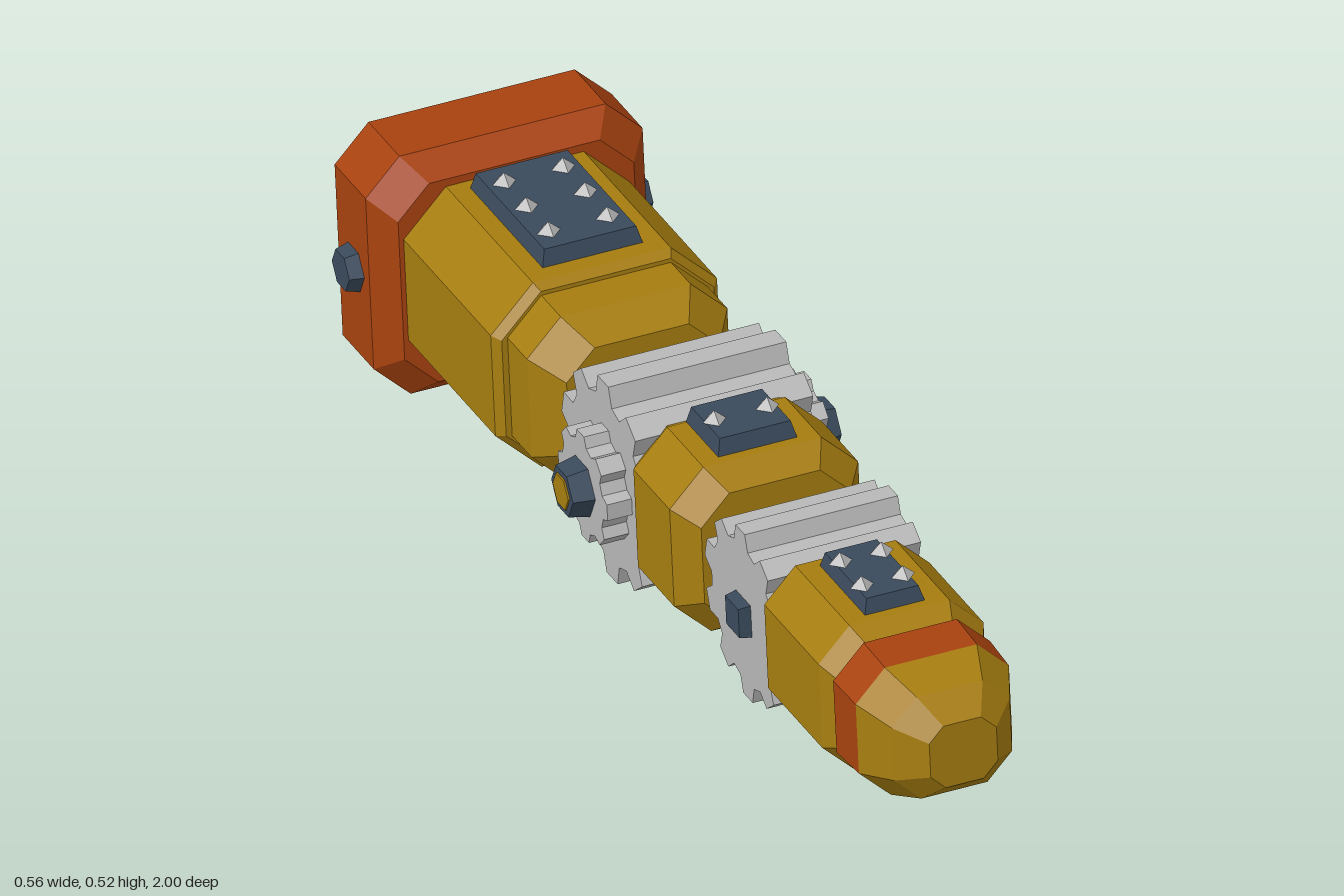
import * as THREE from 'three';

const paint = (name, color) => {
  const m = new THREE.MeshStandardMaterial({ color, flatShading: true });
  m.name = name;
  return m;
};

// Corners of a chamfered rectangle, counter-clockwise
const octagon = (w, h, c) => [
  [w, c - h], [w, h - c], [w - c, h], [c - w, h],
  [-w, h - c], [-w, c - h], [c - w, -h], [w - c, -h],
];

// Closed body through chamfered sections [z, halfWidth, halfHeight, chamfer], z rising
function loft(sections) {
  const rings = sections.map(([z, w, h, c]) => octagon(w, h, c).map(([x, y]) => [x, y, z]));
  const pos = [];
  const tri = (a, b, c) => pos.push(...a, ...b, ...c);
  const n = 8, last = rings[rings.length - 1];
  for (let k = 0; k + 1 < rings.length; k++) {
    for (let i = 0; i < n; i++) {
      const j = (i + 1) % n, a = rings[k], b = rings[k + 1];
      tri(a[i], a[j], b[j]);
      tri(a[i], b[j], b[i]);
    }
  }
  for (let i = 1; i + 1 < n; i++) {
    tri(last[0], last[i], last[i + 1]);
    tri(rings[0][0], rings[0][i + 1], rings[0][i]);
  }
  const g = new THREE.BufferGeometry();
  g.setAttribute('position', new THREE.Float32BufferAttribute(pos, 3));
  g.computeVertexNormals();
  return g;
}

// Toothed wheel with its axle along x
function gearGeometry(outer, root, teeth, halfWidth) {
  const shape = new THREE.Shape();
  const step = (Math.PI * 2) / teeth;
  for (let i = 0; i < teeth; i++) {
    [[-0.34, root], [-0.19, outer], [0.19, outer], [0.34, root]].forEach(([f, r], k) => {
      const a = Math.PI / 2 + (i + f) * step;
      const p = [Math.cos(a) * r, Math.sin(a) * r];
      if (i + k === 0) shape.moveTo(...p);
      else shape.lineTo(...p);
    });
  }
  shape.closePath();
  const g = new THREE.ExtrudeGeometry(shape, { depth: halfWidth * 2, bevelEnabled: false });
  return g.translate(0, 0, -halfWidth).rotateY(Math.PI / 2);
}

export function createModel() {
  const gold = paint('gold', 0xa67d10);
  const orange = paint('burnt orange', 0xa8420f);
  const slate = paint('slate', 0x3a4a5c);
  const steel = paint('steel', 0xb8b8b8);

  const model = new THREE.Group();
  model.name = 'mechanicalFinger';
  const finger = new THREE.Group();
  finger.name = 'finger';
  finger.position.set(-0.05, 0.29, 0);
  finger.rotation.set(-0.08, -0.085, 0.01, 'YXZ');
  model.add(finger);

  const add = (name, geometry, material, x = 0, y = 0, z = 0) => {
    const mesh = new THREE.Mesh(geometry, material);
    mesh.name = name;
    mesh.position.set(x, y, z);
    finger.add(mesh);
    return mesh;
  };

  // Matching tapered pegs on both sides, from x = inner to x = outer
  const pegs = (name, material, z, inner, outer, rIn, rOut, sides, turn = 0) => {
    for (const s of [-1, 1]) {
      const g = new THREE.CylinderGeometry(rOut, rIn, outer - inner, sides);
      g.rotateY(turn).rotateZ(-s * Math.PI / 2);
      add(name, g, material, s * (inner + outer) / 2, 0, z);
    }
  };

  // Bevelled top plate with rows of pointed rivets
  const plate = (name, z, w, length, y0, y1, rows, dx, dz) => {
    const l = length / 2, h = y1 - y0 + 0.02, b = 0.012;
    const g = new THREE.BoxGeometry(w * 2, h, length);
    const p = g.attributes.position;
    for (let i = 0; i < p.count; i++) {
      if (p.getY(i) > 0) {
        p.setX(i, Math.sign(p.getX(i)) * (w - b));
        p.setZ(i, Math.sign(p.getZ(i)) * (l - b));
      }
    }
    g.computeVertexNormals();
    add(name, g, slate, 0, y1 - h / 2, z);
    for (let r = 0; r < rows; r++) {
      for (const s of [-1, 1]) {
        const rivet = new THREE.ConeGeometry(0.02, 0.018, 4);
        add('rivet', rivet, steel, s * dx / 2, y1 + 0.009, z + (r - (rows - 1) / 2) * dz);
      }
    }
  };

  // Fingertip
  add('tip', loft([
    [0.885, 0.13, 0.114, 0.052], [0.955, 0.1, 0.091, 0.044], [1.0, 0.057, 0.055, 0.025],
  ]), gold);
  add('tipBand', loft([[0.805, 0.133, 0.118, 0.054], [0.885, 0.13, 0.114, 0.052]]), orange);
  add('tipSegment', loft([
    [0.555, 0.14, 0.13, 0.055], [0.765, 0.14, 0.13, 0.055], [0.805, 0.122, 0.11, 0.05],
  ]), gold);
  plate('tipPlate', 0.66, 0.056, 0.185, 0.13, 0.155, 2, 0.07, 0.083);

  // Front joint
  add('frontGear', gearGeometry(0.152, 0.125, 10, 0.13), steel, 0, 0, 0.446);
  pegs('frontGearPin', slate, 0.446, 0.12, 0.15, 0.042, 0.036, 4, Math.PI / 4);

  // Middle segment
  add('middleSegment', loft([
    [0.07, 0.145, 0.135, 0.055], [0.095, 0.16, 0.147, 0.06],
    [0.235, 0.16, 0.147, 0.06], [0.28, 0.127, 0.117, 0.05],
  ]), gold);
  plate('middlePlate', 0.155, 0.072, 0.135, 0.147, 0.175, 1, 0.09, 0);

  // Rear joint with small side gears and capped axle ends
  add('rearGear', gearGeometry(0.178, 0.146, 10, 0.151), steel, 0, 0, -0.035);
  add('sideGears', gearGeometry(0.096, 0.08, 8, 0.193), steel, 0, 0, -0.035);
  pegs('axleEnd', slate, -0.035, 0.18, 0.228, 0.052, 0.042, 6);
  pegs('axleCap', gold, -0.035, 0.225, 0.231, 0.03, 0.03, 6);

  // Base segment
  add('baseCollar', loft([
    [-0.4, 0.17, 0.148, 0.06], [-0.295, 0.17, 0.148, 0.06], [-0.235, 0.13, 0.115, 0.05],
  ]), gold);
  add('baseSegment', loft([
    [-0.74, 0.192, 0.165, 0.075], [-0.385, 0.192, 0.165, 0.075], [-0.37, 0.18, 0.155, 0.07],
  ]), gold);
  plate('basePlate', -0.56, 0.09, 0.29, 0.165, 0.193, 3, 0.1, 0.086);

  // Underside housing and rod
  const housing = new THREE.Shape([
    [-0.05, -0.15], [-0.07, -0.185], [-0.036, -0.238],
    [0.036, -0.238], [0.07, -0.185], [0.05, -0.15],
  ].map(([x, y]) => new THREE.Vector2(x, y)));
  add('underHousing', new THREE.ExtrudeGeometry(housing, { depth: 0.265, bevelEnabled: false }),
    slate, 0, 0, -0.645);
  add('underRod', new THREE.BoxGeometry(0.048, 0.046, 0.16), steel, 0, -0.182, -0.345);

  // Rear flange
  add('flange', loft([
    [-0.925, 0.197, 0.175, 0.052], [-0.885, 0.235, 0.213, 0.06],
    [-0.765, 0.235, 0.213, 0.06], [-0.722, 0.2, 0.178, 0.055],
  ]), orange);
  add('backPanel', loft([[-0.93, 0.185, 0.163, 0.05], [-0.924, 0.185, 0.163, 0.05]]), slate);
  add('backKnob', loft([
    [-1.0, 0.078, 0.068, 0.03], [-0.975, 0.104, 0.092, 0.038], [-0.925, 0.104, 0.092, 0.038],
  ]), slate);
  pegs('flangeBolt', slate, -0.825, 0.22, 0.258, 0.044, 0.034, 6);

  return model;
}
